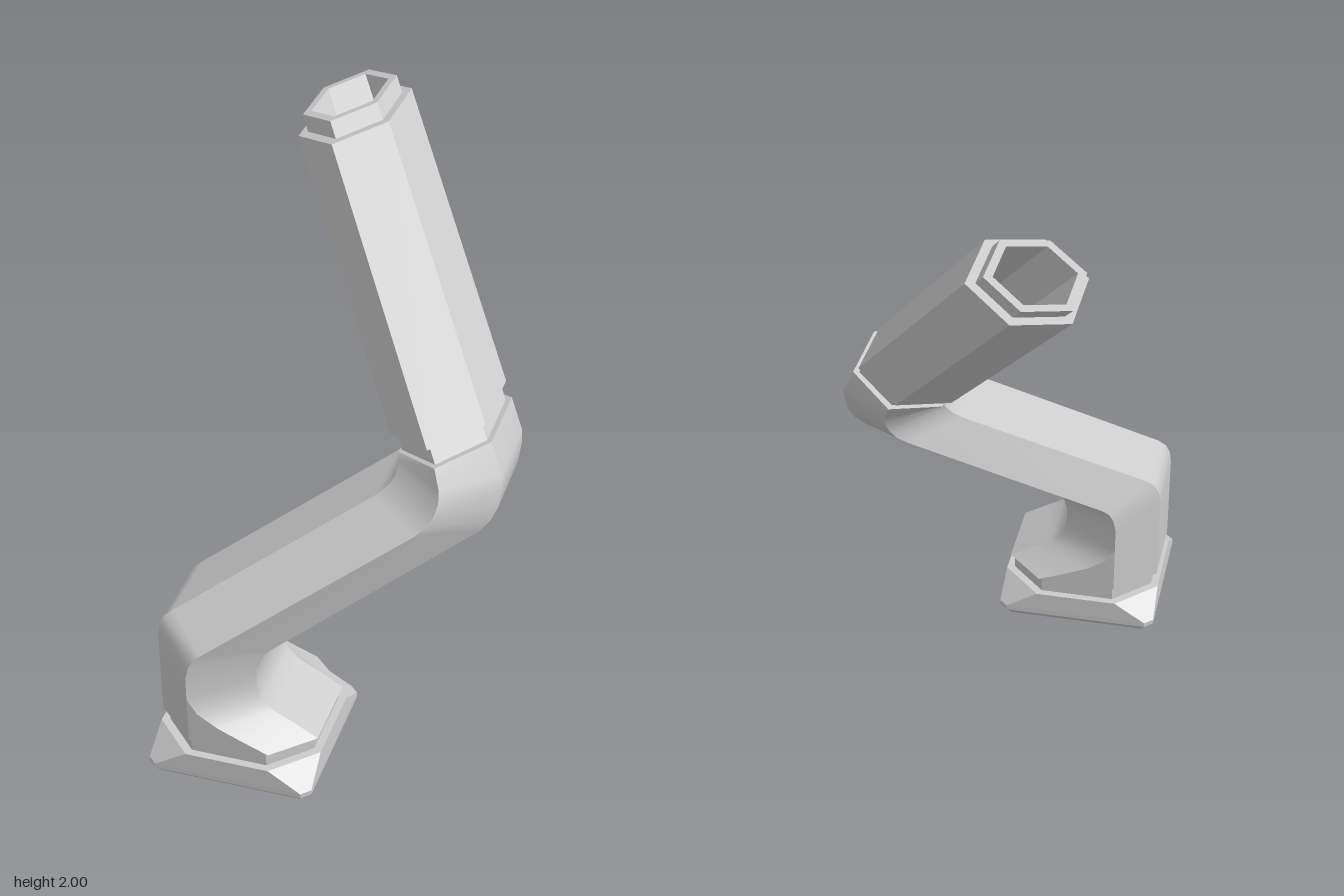
import * as THREE from 'three';

// Skins a list of point rings (each counter-clockwise seen from its end).
// Every side gets its own strip, so edges along the length stay crisp.
function loft(name, rings, smooth = false, capStart = true) {
  const pos = [], idx = [];
  const n = rings[0].length;
  for (let i = 0; i < n; i++) {
    const j = (i + 1) % n, base = pos.length / 3;
    rings.forEach((r) => pos.push(...r[i], ...r[j]));
    for (let k = 0; k < rings.length - 1; k++) {
      const a = base + 2 * k;
      idx.push(a, a + 1, a + 3, a, a + 3, a + 2);
    }
  }
  const cap = (ring, flip) => {
    const base = pos.length / 3;
    ring.forEach((p) => pos.push(...p));
    for (let i = 1; i < n - 1; i++) {
      if (flip) idx.push(base, base + i + 1, base + i);
      else idx.push(base, base + i, base + i + 1);
    }
  };
  if (capStart) cap(rings[0], true);
  cap(rings[rings.length - 1], false);
  const geo = new THREE.BufferGeometry();
  geo.setAttribute('position', new THREE.Float32BufferAttribute(pos, 3));
  geo.setIndex(idx);
  geo.computeVertexNormals();
  const mesh = new THREE.Mesh(geo, new THREE.MeshStandardMaterial({ color: 0xcccccc, flatShading: !smooth }));
  mesh.name = name;
  return mesh;
}

const APEX = 0.272, FLAT = 0.142; // half depths of the hexagonal section

// Section from its left, front (split in two at the flare) and right points
function section(l, a, b, r, z) {
  const half = [[l, FLAT], [a, APEX], [b, APEX], [r, FLAT]];
  return [
    ...half.map(([p, d]) => [p[0], p[1], z + d]),
    ...half.reverse().map(([p, d]) => [p[0], p[1], z - d]),
  ];
}

// Chamfered square at height y
function octagon(y, h, c) {
  const k = h - c;
  return [[-h, k], [-k, h], [k, h], [h, k], [h, -k], [k, -h], [-k, -h], [-h, -k]]
    .map(([x, z]) => [x - 0.255, y, z + 0.543]);
}

// Tilted hexagon at fraction t along the barrel, scaled by s
function barrelRing(t, s) {
  const c = [0.30 - 0.52 * t, 1.19 + 0.73 * t, 0.067 - 0.635 * t];
  return [[-1, FLAT], [0, APEX], [1, FLAT], [1, -FLAT], [0, -APEX], [-1, -FLAT]]
    .map(([u, z]) => [c[0] + 0.162 * s * u, c[1] + 0.049 * s * u, c[2] + s * z]);
}

export function createModel() {
  const group = new THREE.Group();
  group.name = 'bentPipe';

  // Foot plate with bevelled underside and cut upper corners
  group.add(loft('footPlate', [
    octagon(0, 0.268, 0.02), octagon(0.03, 0.295, 0.03), octagon(0.048, 0.295, 0.03), octagon(0.12, 0.292, 0.143),
  ]));
  group.add(loft('footNeck', [octagon(0.11, 0.265, 0.13), octagon(0.18, 0.265, 0.13)]));

  // Flare: the hexagon opens into the octagon of the foot
  const flare = [
    [0.172, [-0.11, 0.175], [0.025, 0.175]],
    [0.22, [-0.21, 0.215], [-0.06, 0.225]],
    [0.26, [-0.29, 0.25], [-0.13, 0.26]],
    [0.30, [-0.36, 0.295], [-0.175, 0.305]],
    [0.35, [-0.395, 0.35], [-0.19, 0.36]],
  ].map(([y, b, r]) => section([-0.54, y], [-0.395, y], b, r, 0.545));

  // Two bends joined by a straight run: left, apex, right, centre z
  const bends = [
    [[-0.54, 0.50], [-0.395, 0.44], [-0.19, 0.42], 0.545],
    [[-0.535, 0.54], [-0.385, 0.485], [-0.18, 0.46], 0.542],
    [[-0.52, 0.575], [-0.37, 0.515], [-0.165, 0.485], 0.535],
    [[-0.49, 0.60], [-0.345, 0.535], [-0.145, 0.505], 0.525],
    [[0.13, 0.99], [0.30, 0.945], [0.49, 0.92], 0.215],
    [[0.165, 1.02], [0.335, 0.975], [0.52, 0.955], 0.195],
    [[0.185, 1.05], [0.355, 1.01], [0.54, 1.00], 0.178],
    [[0.19, 1.075], [0.365, 1.05], [0.545, 1.06], 0.158],
    [[0.187, 1.09], [0.36, 1.09], [0.54, 1.10], 0.137],
    [[0.177, 1.10], [0.335, 1.148], [0.492, 1.20], 0.102],
  ].map(([l, a, r, z]) => section(l, a, a, r, z));
  group.add(loft('bentTube', [...flare, ...bends], true));

  // Barrel: neck, outer wall, stepped rim and deep bore
  group.add(loft('barrel', [
    barrelRing(-0.08, 0.9), barrelRing(0, 0.9), barrelRing(0, 1), barrelRing(1, 1),
    barrelRing(1, 0.83), barrelRing(1.06, 0.83), barrelRing(1.06, 0.68), barrelRing(0.05, 0.68),
  ]));
  return group;
}
